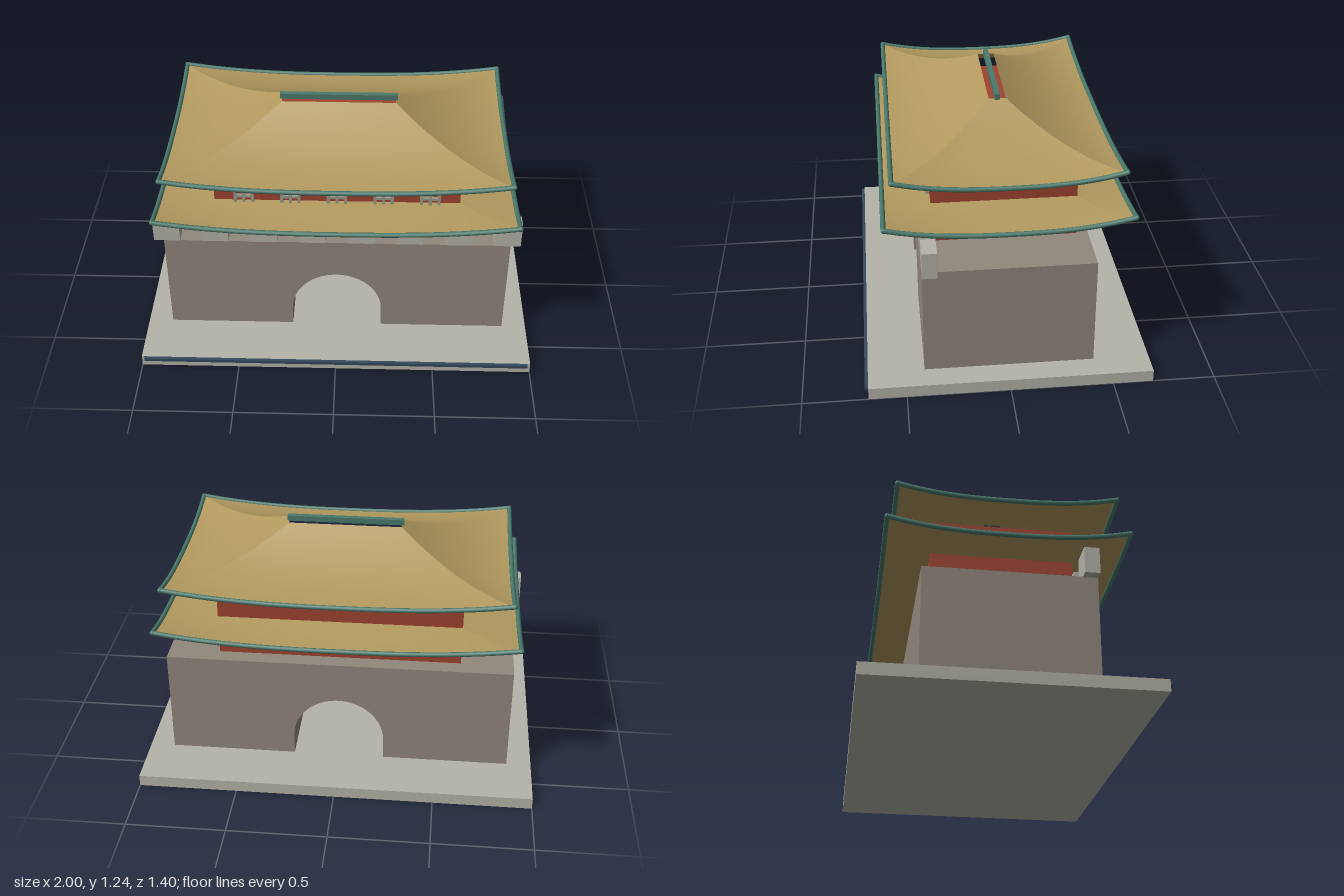
import * as THREE from 'three';

const mat = (name, color, side = THREE.FrontSide) => {
  const m = new THREE.MeshStandardMaterial({ color, side });
  m.name = name;
  return m;
};

export function createModel() {
  const stone = mat('pale stone', 0xb4b4a9);
  const masonry = mat('grey brown masonry', 0x92887d);
  const red = mat('red timber', 0xa04330);
  const gold = mat('golden tile', 0xb39a5f, THREE.DoubleSide);
  const teal = mat('teal trim', 0x4a7a6c);
  const navy = mat('navy strip', 0x34495e);
  const frame = mat('grey window frame', 0x9a9c8c);

  const model = new THREE.Group();
  model.name = 'gatehouse';
  const body = new THREE.Group();
  body.name = 'building';
  body.position.z = -0.006; // the front strip shifts the rest back slightly
  model.add(body);

  const add = (name, geometry, material, parent = body) => {
    const m = new THREE.Mesh(geometry, material);
    m.name = name;
    parent.add(m);
    return m;
  };
  // Box from its width, depth, bottom and top
  const box = (name, material, w, d, y0, y1, x = 0, z = 0, parent = body) => {
    const m = add(name, new THREE.BoxGeometry(w, y1 - y0, d), material, parent);
    m.position.set(x, (y0 + y1) / 2, z);
    return m;
  };

  // Plinth with a strip along its front edge
  box('plinth', stone, 2, 1.38, 0, 0.06);
  box('plinthStrip', navy, 1.97, 0.016, 0.042, 0.06, 0, 0.698);

  // Masonry gate wall with an arched passage
  const W = 0.875, R = 0.232, SPRING = 0.17, FOOT = 0.03;
  const wall = new THREE.Shape();
  wall.moveTo(-W, FOOT);
  wall.lineTo(-R, FOOT);
  wall.lineTo(-R, SPRING);
  wall.absarc(0, SPRING, R, Math.PI, 0, true);
  wall.lineTo(R, FOOT);
  wall.lineTo(W, FOOT);
  wall.lineTo(W, 0.615);
  wall.lineTo(-W, 0.615);
  wall.closePath();
  const wallGeo = new THREE.ExtrudeGeometry(wall, { depth: 0.83, bevelEnabled: false, curveSegments: 32 });
  wallGeo.translate(0, 0, -0.415);
  add('gateWall', wallGeo, masonry);

  // Merlons along the front parapet
  for (let i = 0; i < 8; i++) {
    box('merlon', stone, 0.133, 0.073, 0.613, 0.747, (i - 3.5) * 0.2453, 0.379);
  }

  // Timber storeys
  box('lowerStorey', red, 1.222, 0.706, 0.627, 0.82);
  box('upperStorey', red, 1.222, 0.706, 0.82, 1.01);

  // Latticed windows on the front
  for (let i = -2; i <= 2; i++) {
    const win = new THREE.Group();
    win.name = 'window';
    win.position.set(i * 0.231, 0, 0.362);
    body.add(win);
    for (const x of [-0.043, 0, 0.043]) box('windowUpright', frame, 0.015, 0.018, 0.79, 0.942, x, 0, win);
    for (const y of [0.79, 0.859, 0.929]) box('windowRail', frame, 0.1, 0.016, y, y + 0.013, 0, 0, win);
  }

  // Point on one of four roof slopes: u runs along the eave, t from eave to top
  const slopePoint = (r, side, u, t) => {
    const hx = THREE.MathUtils.lerp(r.eave[0], r.top[0], t);
    const hz = THREE.MathUtils.lerp(r.eave[1], r.top[1], t);
    const y = r.y0 + (r.y1 - r.y0) * Math.pow(t, r.power)
      + r.lift * Math.pow(Math.abs(u), 2.6) * (1 - t) ** 2;
    const s = side < 2 ? 1 : -1;
    return side % 2 === 0
      ? new THREE.Vector3(s * u * hx, y, s * hz)
      : new THREE.Vector3(s * hx, y, -s * u * hz);
  };

  // Curved hipped roof with a rounded trim along its eaves
  const roof = (name, r) => {
    const g = new THREE.Group();
    g.name = name;
    body.add(g);
    for (let side = 0; side < 4; side++) {
      const geo = new THREE.PlaneGeometry(2, 1, 24, 14);
      const p = geo.attributes.position;
      for (let i = 0; i < p.count; i++) {
        const v = slopePoint(r, side, p.getX(i), p.getY(i) + 0.5);
        p.setXYZ(i, v.x, v.y, v.z);
      }
      geo.computeVertexNormals();
      add('roofSlope', geo, gold, g);

      const pts = [];
      for (let i = 0; i <= 16; i++) pts.push(slopePoint(r, side, i / 8 - 1, 0));
      add('eaveTrim', new THREE.TubeGeometry(new THREE.CatmullRomCurve3(pts), 32, 0.012, 8), teal, g);
      const cap = add('eaveCorner', new THREE.SphereGeometry(0.0125, 10, 8), teal, g);
      cap.position.copy(pts[0]);
    }
  };
  roof('lowerRoof', { eave: [0.888, 0.582], top: [0.6, 0.34], y0: 0.806, y1: 0.836, lift: 0.054, power: 1.3 });
  roof('upperRoof', { eave: [0.843, 0.537], top: [0.285, 0.042], y0: 1.022, y1: 1.217, lift: 0.052, power: 1.75 });

  // Ridge beam
  box('ridgeBeam', teal, 0.59, 0.026, 1.213, 1.241);

  return model;
}
